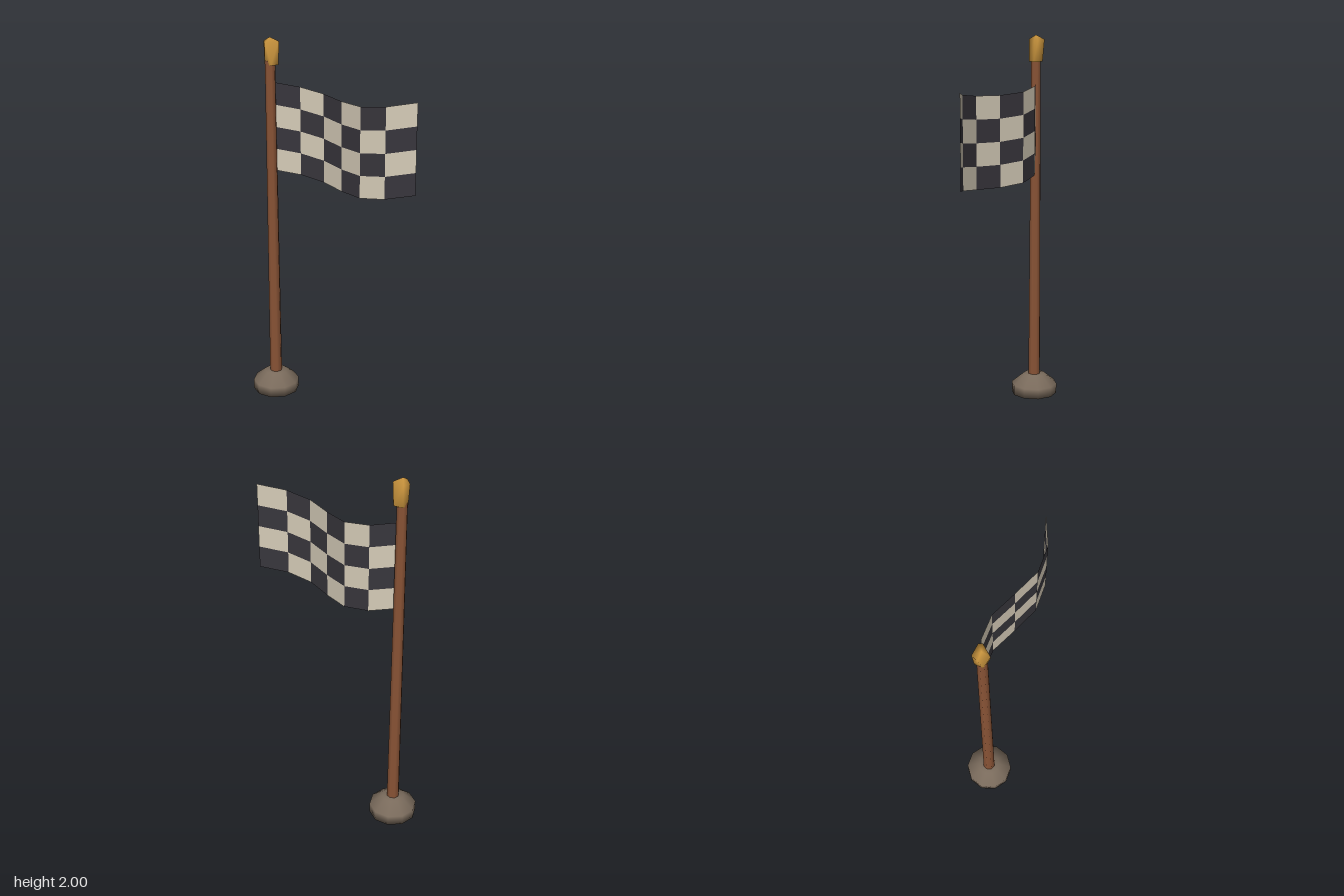
import * as THREE from 'three';

const POLE_X = -0.357;

function material(name, color, extra = {}) {
  const m = new THREE.MeshStandardMaterial({ color, ...extra });
  m.name = name;
  return m;
}

// Rough-hewn cap: two five-sided rings closed by a low peak and a flat bottom
function finialGeometry() {
  const lower = [[-0.024, 0.014], [-0.02, -0.03], [0.03, -0.031], [0.044, -0.008], [0.024, 0.028]];
  const upper = [[-0.04, -0.004], [-0.025, -0.038], [0.038, -0.03], [0.044, -0.01], [-0.002, 0.043]];
  const n = lower.length;
  const positions = [];
  for (const [x, z] of lower) positions.push(x, 1.86, z);
  for (const [x, z] of upper) positions.push(x, 1.976, z);
  positions.push(0, 1.86, 0, 0, 2, 0);
  const bottom = 2 * n, peak = 2 * n + 1;
  const index = [];
  for (let i = 0; i < n; i++) {
    const j = (i + 1) % n;
    index.push(j, i, n + i, j, n + i, n + j);
    index.push(peak, n + j, n + i, bottom, i, j);
  }
  const g = new THREE.BufferGeometry();
  g.setAttribute('position', new THREE.Float32BufferAttribute(positions, 3));
  g.setIndex(index);
  g.computeVertexNormals();
  return g;
}

// Waving cloth: one quad per check, sagging in the middle and rippling in z
function flagGeometry(columns, rows) {
  const width = 0.834, height = 0.473, top = 1.77;
  const g = new THREE.PlaneGeometry(width, height, columns, rows);
  const p = g.attributes.position;
  for (let i = 0; i < p.count; i++) {
    const u = p.getX(i) / width + 0.5;
    const y = top - height / 2 + p.getY(i) - 0.05 * Math.sin(Math.PI * u);
    p.setXYZ(i, POLE_X + u * width, y, -0.072 * Math.sin(2 * Math.PI * u));
  }
  g.clearGroups();
  for (let r = 0; r < rows; r++) {
    for (let c = 0; c < columns; c++) {
      g.addGroup((r * columns + c) * 6, 6, (r + c) % 2);
    }
  }
  g.computeVertexNormals();
  return g;
}

export function createModel() {
  const group = new THREE.Group();
  group.name = 'checkeredFlag';
  const cloth = { side: THREE.DoubleSide, flatShading: true };
  const wood = material('wood', 0x8a5436);
  const stone = material('stone', 0x7a6b5c);
  const gold = material('gold', 0xd19a40);
  const dark = material('darkCloth', 0x38363c, cloth);
  const light = material('lightCloth', 0xd6ccb8, cloth);

  const add = (name, geometry, mat, x = 0, y = 0) => {
    const mesh = new THREE.Mesh(geometry, mat);
    mesh.name = name;
    mesh.position.set(x, y, 0);
    group.add(mesh);
  };

  // Ten-sided stone foot
  const profile = [[0, 0], [0.127, 0], [0.127, 0.055], [0.06, 0.11], [0, 0.115]]
    .map(([r, y]) => new THREE.Vector2(r, y));
  add('base', new THREE.LatheGeometry(profile, 10, Math.PI / 2), stone, POLE_X);

  // Slightly tapered pole
  add('pole', new THREE.CylinderGeometry(0.027, 0.034, 1.82, 8), wood, POLE_X, 0.97);

  add('finial', finialGeometry(), gold, POLE_X);
  add('flag', flagGeometry(6, 4), [dark, light]);

  return group;
}
